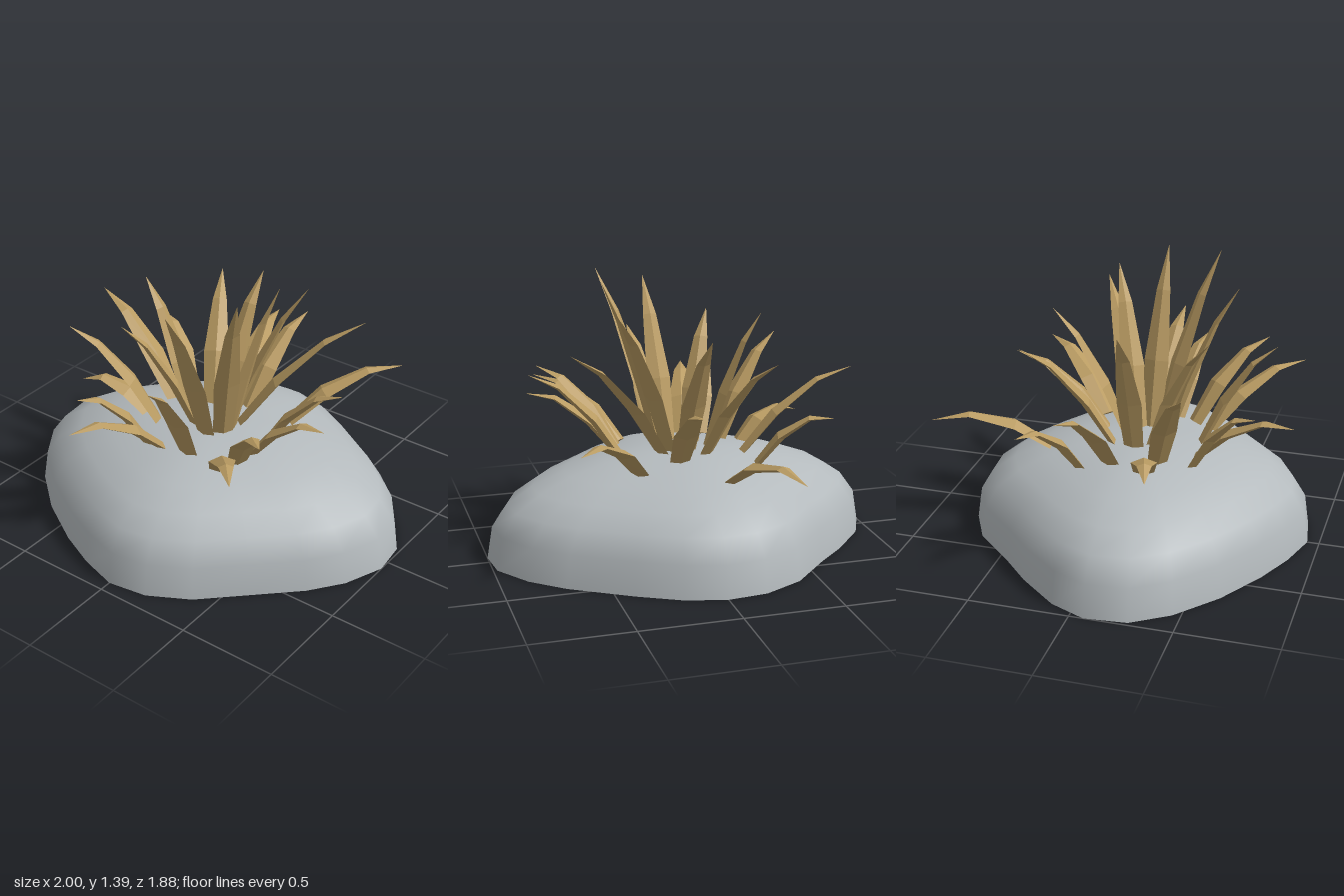
import * as THREE from 'three';

const rockGrey = new THREE.MeshStandardMaterial({ color: 0xb4babd });
rockGrey.name = 'rock grey';
const dryGrass = new THREE.MeshStandardMaterial({ color: 0xb99b62, flatShading: true });
dryGrass.name = 'dry grass';

function meshFrom(name, positions, indices, material) {
  let g = new THREE.BufferGeometry();
  g.setAttribute('position', new THREE.Float32BufferAttribute(positions, 3));
  g.setIndex(indices);
  if (material.flatShading) g = g.toNonIndexed();
  g.computeVertexNormals();
  const mesh = new THREE.Mesh(g, material);
  mesh.name = name;
  return mesh;
}

// Ground outline of the rock (x, z), starting at the back
const OUTLINE = [
  [0, -0.78], [0.2, -0.73], [0.41, -0.62], [0.7, -0.44], [0.86, -0.3], [0.98, -0.12],
  [1, 0.06], [0.92, 0.26], [0.8, 0.42], [0.6, 0.61], [0.4, 0.8], [0.2, 0.91],
  [0, 0.94], [-0.2, 0.88], [-0.4, 0.79], [-0.65, 0.64], [-0.86, 0.46], [-0.98, 0.28],
  [-1, 0.07], [-0.92, -0.11], [-0.75, -0.31], [-0.6, -0.45], [-0.4, -0.66], [-0.2, -0.76],
];
// Rock rings: scale of the outline, height
const RINGS = [[1, 0], [0.972, 0.165], [0.893, 0.275], [0.765, 0.355], [0.6, 0.42], [0.4, 0.468], [0.2, 0.493]];
const CENTRE_Z = 0.08;

function rock() {
  const group = new THREE.Group();
  group.name = 'rock';
  const n = OUTLINE.length, pos = [], idx = [];
  for (const [s, y] of RINGS)
    for (const [x, z] of OUTLINE) pos.push(x * s, y, CENTRE_Z + (z - CENTRE_Z) * s);
  const apex = pos.length / 3;
  pos.push(0, 0.5, CENTRE_Z);
  for (let j = 0; j < n; j++) {
    const k = (j + 1) % n;
    for (let r = 0; r < RINGS.length - 1; r++) {
      const a = r * n + j, a1 = r * n + k, b = a + n, b1 = a1 + n;
      idx.push(a, b, a1, a1, b, b1);
    }
    const top = (RINGS.length - 1) * n;
    idx.push(apex, top + k, top + j);
  }
  group.add(meshFrom('rockDome', pos, idx, rockGrey));

  // Flat underside
  const basePos = [0, 0, CENTRE_Z], baseIdx = [];
  OUTLINE.forEach(([x, z], j) => {
    basePos.push(x, 0, z);
    baseIdx.push(0, j + 1, ((j + 1) % n) + 1);
  });
  group.add(meshFrom('rockUnderside', basePos, baseIdx, rockGrey));
  return group;
}

// Blades: root x, root z, tip x, tip y, tip z
const BLADES = [
  // upright inner blades
  [0.09, 0.14, 0.35, 1.385, 0.38], [0.1, 0.09, 0.39, 1.375, 0.1], [0.06, 0.03, 0.38, 1.26, -0.16],
  [0.03, 0.2, 0.06, 1.3, 0.54], [-0.08, 0.15, -0.27, 1.12, 0.47], [-0.15, 0.07, -0.44, 1.17, 0.07],
  [-0.02, 0, -0.04, 1.14, -0.38], [-0.11, -0.05, -0.35, 1.03, -0.45],
  // middle ring
  [0.1, 0.01, 0.63, 1.1, -0.29], [0.05, -0.13, 0.08, 0.84, -0.62], [0.05, 0.37, 0.1, 1.0, 0.73],
  [-0.26, 0.22, -0.64, 0.98, 0.43], [-0.32, 0, -0.87, 0.9, -0.1], [0.3, 0.07, 0.76, 0.92, 0.1],
  // drooping outer ring
  [0.3, 0.17, 0.75, 0.79, 0.24], [0.28, 0.28, 0.63, 0.84, 0.59], [0.24, 0.37, 0.61, 0.74, 0.79],
  [-0.11, 0.39, -0.25, 0.73, 0.89], [-0.2, 0.39, -0.35, 0.8, 0.72], [-0.36, 0.18, -0.71, 0.58, 0.28],
  [-0.35, -0.16, -0.68, 0.71, -0.36], [0.27, -0.19, 0.66, 0.71, -0.63], [-0.15, -0.37, -0.32, 0.58, -0.94],
];
// Position along the blade, half width
const STATIONS = [[0, 0.05], [0.3, 0.064], [0.68, 0.036], [1, 0.0008]];

// Arching blade with a flattened diamond section
function blade([x0, z0, x1, y1, z1]) {
  const y0 = 0.485 - 0.2 * (x0 * x0 + (z0 - CENTRE_Z) ** 2);
  const arch = 0.35, dx = x1 - x0, dz = z1 - z0, h = y1 - y0;
  const side = new THREE.Vector3(dz, 0, -dx).normalize();
  const pos = [], idx = [];
  for (const [t, w] of STATIONS) {
    const p = new THREE.Vector3(x0 + dx * t, y0 + h * t + arch * t * (1 - t), z0 + dz * t);
    const tangent = new THREE.Vector3(dx, h + arch * (1 - 2 * t), dz).normalize();
    const normal = tangent.clone().cross(side);
    for (const [u, v] of [[1, 0], [0, 0.38], [-1, 0], [0, -0.38]])
      pos.push(...p.clone().addScaledVector(side, u * w).addScaledVector(normal, v * w).toArray());
  }
  for (let r = 0; r < STATIONS.length - 1; r++)
    for (let j = 0; j < 4; j++) {
      const a = r * 4 + j, a1 = r * 4 + (j + 1) % 4;
      idx.push(a, a1, a + 4, a1, a1 + 4, a + 4);
    }
  idx.push(0, 2, 1, 0, 3, 2); // root cap
  return meshFrom('grassBlade', pos, idx, dryGrass);
}

export function createModel() {
  const model = new THREE.Group();
  model.name = 'grassyRock';
  const tuft = new THREE.Group();
  tuft.name = 'grassTuft';
  for (const b of BLADES) tuft.add(blade(b));
  model.add(rock(), tuft);
  return model;
}
